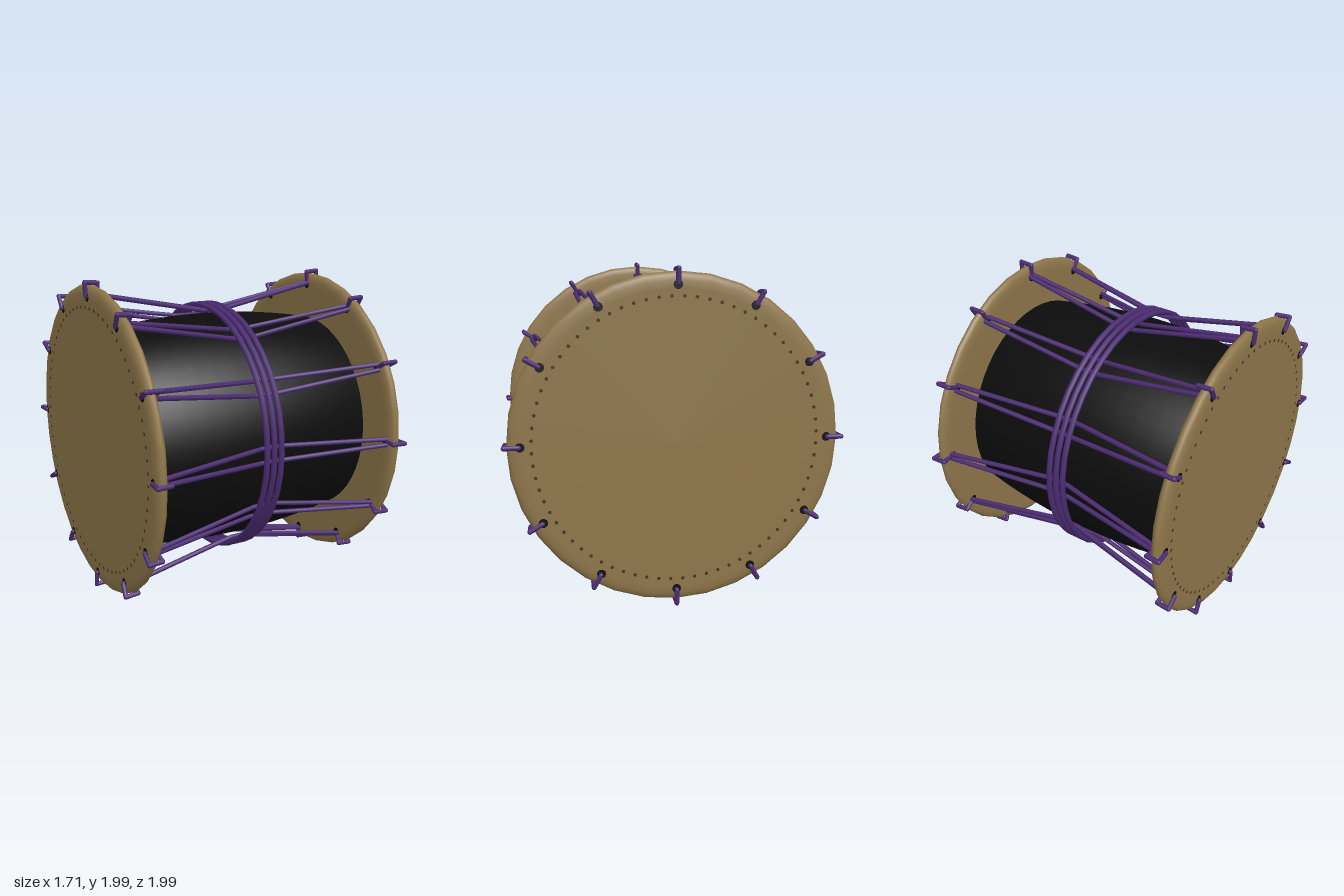
import * as THREE from 'three';
import { mergeGeometries } from 'three/addons/utils/BufferGeometryUtils.js';

const mat = (name, color) => new THREE.MeshStandardMaterial({ name, color });

export function createModel() {
  const skin = mat('tan hide', 0x8e764a);
  const lacquer = mat('black lacquer', 0x0c0c0c);
  const cord = mat('purple cord', 0x4b2c72);
  const stitch = mat('dark brown stitch', 0x43331f);

  const model = new THREE.Group();
  model.name = 'ropeDrum';
  const drum = new THREE.Group();
  drum.name = 'drum';
  drum.position.y = 1;
  model.add(drum);

  const add = (parent, name, geo, material) => {
    const mesh = new THREE.Mesh(geo, material);
    mesh.name = name;
    parent.add(mesh);
  };
  // Lathe around the x axis from [radius, x] pairs
  const turn = (pts, sides) =>
    new THREE.LatheGeometry(pts.map(([r, x]) => new THREE.Vector2(r, x)), sides).rotateZ(-Math.PI / 2);
  // Point at distance r from the axis, offset t around it
  const polar = (x, r, a, t = 0) => new THREE.Vector3(
    x, r * Math.cos(a) - t * Math.sin(a), r * Math.sin(a) + t * Math.cos(a));
  // Straight cord segments with rounded joints
  const rope = (pts, radius) => {
    const parts = [];
    pts.forEach((p, i) => {
      parts.push(new THREE.SphereGeometry(radius, 8, 6).translate(p.x, p.y, p.z));
      if (i === 0) return;
      const d = p.clone().sub(pts[i - 1]);
      const g = new THREE.CylinderGeometry(radius, radius, d.length(), 8, 1, true);
      g.applyQuaternion(new THREE.Quaternion().setFromUnitVectors(
        new THREE.Vector3(0, 1, 0), d.clone().normalize()));
      const m = p.clone().add(pts[i - 1]).multiplyScalar(0.5);
      parts.push(g.translate(m.x, m.y, m.z));
    });
    return mergeGeometries(parts);
  };

  // Barrel body
  const barrel = [];
  for (let i = 0; i <= 12; i++) {
    const x = -0.78 + i * 0.13;
    barrel.push([0.74 - 0.07 * (x / 0.78) ** 2, x]);
  }
  add(drum, 'body', turn(barrel, 48), lacquer);

  // Two heads, each with stitching, cord holes and cord loops over the rim
  const headProfile = [[0, 0.765], [0.88, 0.765], [0.92, 0.765], [0.948, 0.771], [0.963, 0.784],
    [0.968, 0.797], [0.963, 0.81], [0.948, 0.822], [0.92, 0.829], [0.88, 0.831], [0, 0.831]];
  for (const side of ['left', 'right']) {
    const head = new THREE.Group();
    head.name = side + 'Head';
    if (side === 'right') head.rotation.y = Math.PI;
    drum.add(head);
    add(head, 'skin', turn(headProfile, 32), skin);

    const dots = [], holes = [], loops = [];
    for (let i = 0; i < 72; i++) {
      const p = polar(0.8315, 0.83, (i + 0.5) * Math.PI / 36);
      dots.push(new THREE.CylinderGeometry(0.011, 0.011, 0.001, 6)
        .rotateZ(-Math.PI / 2).translate(p.x, p.y, p.z));
    }
    for (let i = 0; i < 12; i++) {
      const a = i * Math.PI / 6;
      const h = polar(0.798, 0.893, a);
      holes.push(new THREE.CylinderGeometry(0.027, 0.027, 0.068, 10)
        .rotateZ(-Math.PI / 2).translate(h.x, h.y, h.z));
      loops.push(rope([polar(0.8, 0.893, a), polar(0.838, 0.9, a), polar(0.842, 0.982, a),
        polar(0.76, 0.976, a), polar(0.77, 0.905, a)], 0.0145));
    }
    add(head, 'stitching', mergeGeometries(dots), stitch);
    add(head, 'cordHoles', mergeGeometries(holes), lacquer);
    add(head, 'rimLoops', mergeGeometries(loops), cord);
  }

  // Paired tension cords, drawn in at the waist
  const cords = [];
  for (let i = 0; i < 12; i++) {
    const a = i * Math.PI / 6;
    for (const s of [-1, 1]) {
      cords.push(rope([polar(-0.77, 0.905, a, s * 0.018), polar(-0.07, 0.772, a, s * 0.045),
        polar(0.07, 0.772, a, s * 0.045), polar(0.77, 0.905, a, s * 0.018)], 0.0145));
    }
  }
  add(drum, 'tensionCords', mergeGeometries(cords), cord);

  // Three cord rings around the waist
  for (const x of [-0.05, 0, 0.05]) {
    add(drum, 'waistRing', new THREE.TorusGeometry(0.802, 0.018, 8, 40)
      .rotateY(Math.PI / 2).translate(x, 0, 0), cord);
  }
  return model;
}
